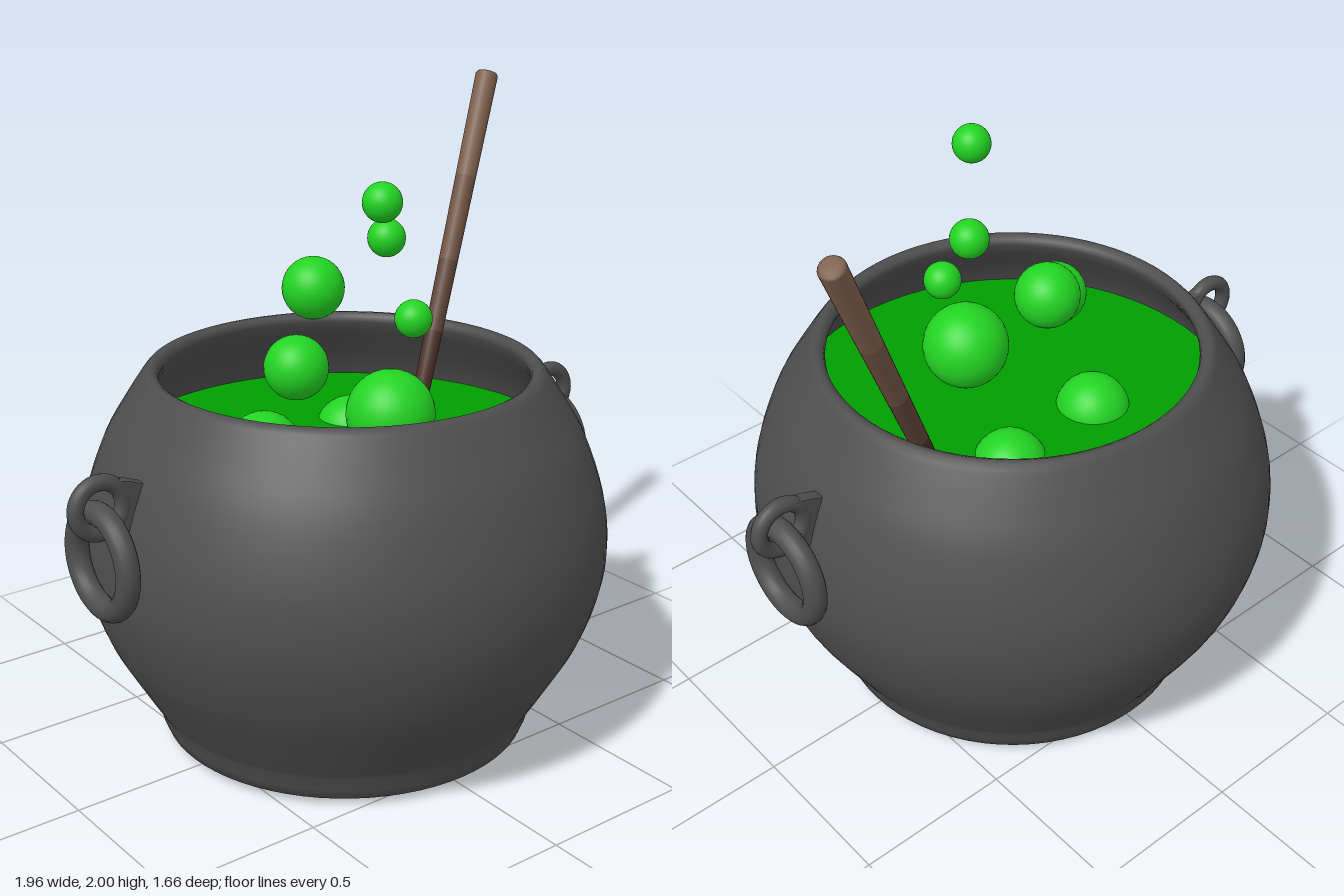
import * as THREE from 'three';

const material = (name, color) => {
  const m = new THREE.MeshStandardMaterial({ color });
  m.name = name;
  return m;
};

export function createModel() {
  const iron = material('castIron', 0x4e4e4e);
  const brew = material('brew', 0x029e02);
  const bubbleGreen = material('bubbleGreen', 0x22d422);
  const woods = [
    material('wetWood', 0x4c3027),
    material('darkWood', 0x5f4437),
    material('wood', 0x705242),
    material('paleWood', 0x7d5f4b),
  ];

  const model = new THREE.Group();
  model.name = 'cauldron';
  const add = (parent, name, geometry, mat, x = 0, y = 0, z = 0) => {
    const mesh = new THREE.Mesh(geometry, mat);
    mesh.name = name;
    mesh.position.set(x, y, z);
    parent.add(mesh);
    return mesh;
  };
  const toPoints = list => list.map(([r, y]) => new THREE.Vector2(r, y));

  // Pot: smooth belly, then over the rim and down the inner wall
  const belly = new THREE.SplineCurve(toPoints([
    [0.613, 0.105], [0.685, 0.225], [0.765, 0.37], [0.815, 0.52], [0.83, 0.65],
    [0.812, 0.8], [0.75, 0.98], [0.675, 1.11], [0.622, 1.19],
  ])).getPoints(32);
  const foot = [[0, 0], [0.51, 0], [0.555, 0.007], [0.588, 0.027], [0.602, 0.062]];
  const inside = [
    [0.61, 1.203], [0.593, 1.205], [0.576, 1.195], [0.572, 1.175], [0.597, 1.13],
    [0.66, 1.05], [0.71, 0.96], [0.74, 0.85],
  ];
  add(model, 'pot', new THREE.LatheGeometry(
    [...toPoints(foot), ...belly, ...toPoints(inside)], 72), iron);

  // Liquid surface
  add(model, 'liquid', new THREE.CircleGeometry(0.717, 72).rotateX(-Math.PI / 2), brew, 0, 0.95, 0);

  // Bubbles: x, y, z, radius
  [
    [-0.048, 1.755, 0.24, 0.059], [0.13, 1.59, 0.04, 0.059],
    [-0.017, 1.42, -0.137, 0.098], [0.118, 1.37, 0.187, 0.058],
    [-0.22, 1.247, 0.05, 0.098], [0.03, 1.087, 0.19, 0.137],
    [-0.195, 0.925, -0.16, 0.118], [0.165, 0.9, -0.18, 0.117],
  ].forEach(([x, y, z, r], i) =>
    add(model, `bubble${i + 1}`, new THREE.SphereGeometry(r, 32, 20), bubbleGreen, x, y, z));

  // Stirring stick: tapered wooden bands, darker towards the liquid, rounded top
  const low = new THREE.Vector3(0.415, 0.98, -0.128);
  const high = new THREE.Vector3(0.86, 1.977, -0.333);
  const along = high.clone().sub(low);
  const length = along.length();
  const stick = new THREE.Group();
  stick.name = 'stirringStick';
  stick.position.copy(low);
  stick.quaternion.setFromUnitVectors(new THREE.Vector3(0, 1, 0), along.normalize());
  model.add(stick);
  const cuts = [0, 0.2, 0.42, 0.68, 1].map(t => t * length);
  const radiusAt = y => 0.028 + 0.01 * y / length;
  woods.forEach((mat, i) => {
    const profile = [[radiusAt(cuts[i]), cuts[i]], [radiusAt(cuts[i + 1]), cuts[i + 1]]];
    if (i === 0) profile.unshift([0, 0]);
    if (i === woods.length - 1) {
      profile.push([0.034, length + 0.008], [0.022, length + 0.012], [0, length + 0.012]);
    }
    add(stick, `stickBand${i + 1}`, new THREE.LatheGeometry(toPoints(profile), 20), mat);
  });

  // Handles: an eye joined to the pot by a web, and a ring hanging in it
  const web = new THREE.Shape(toPoints([
    [0.74, 0.985], [0.79, 1.005], [0.825, 1.015], [0.815, 0.98],
    [0.808, 0.94], [0.815, 0.9], [0.83, 0.87], [0.806, 0.84], [0.75, 0.85],
  ]));
  for (const [name, turn] of [['leftHandle', 0], ['rightHandle', Math.PI]]) {
    const handle = new THREE.Group();
    handle.name = name;
    handle.rotation.y = turn;
    add(handle, 'eye', new THREE.TorusGeometry(0.077, 0.025, 16, 40), iron, 0.878, 0.942, 0);
    add(handle, 'eyeWeb', new THREE.ExtrudeGeometry(web, {
      depth: 0.022, bevelThickness: 0.01, bevelSize: 0.006, bevelSegments: 3,
    }), iron, 0, 0, -0.011);
    add(handle, 'ring', new THREE.TorusGeometry(0.146, 0.036, 16, 48).rotateY(Math.PI / 2),
      iron, 0.878, 0.776, 0);
    model.add(handle);
  }
  return model;
}
